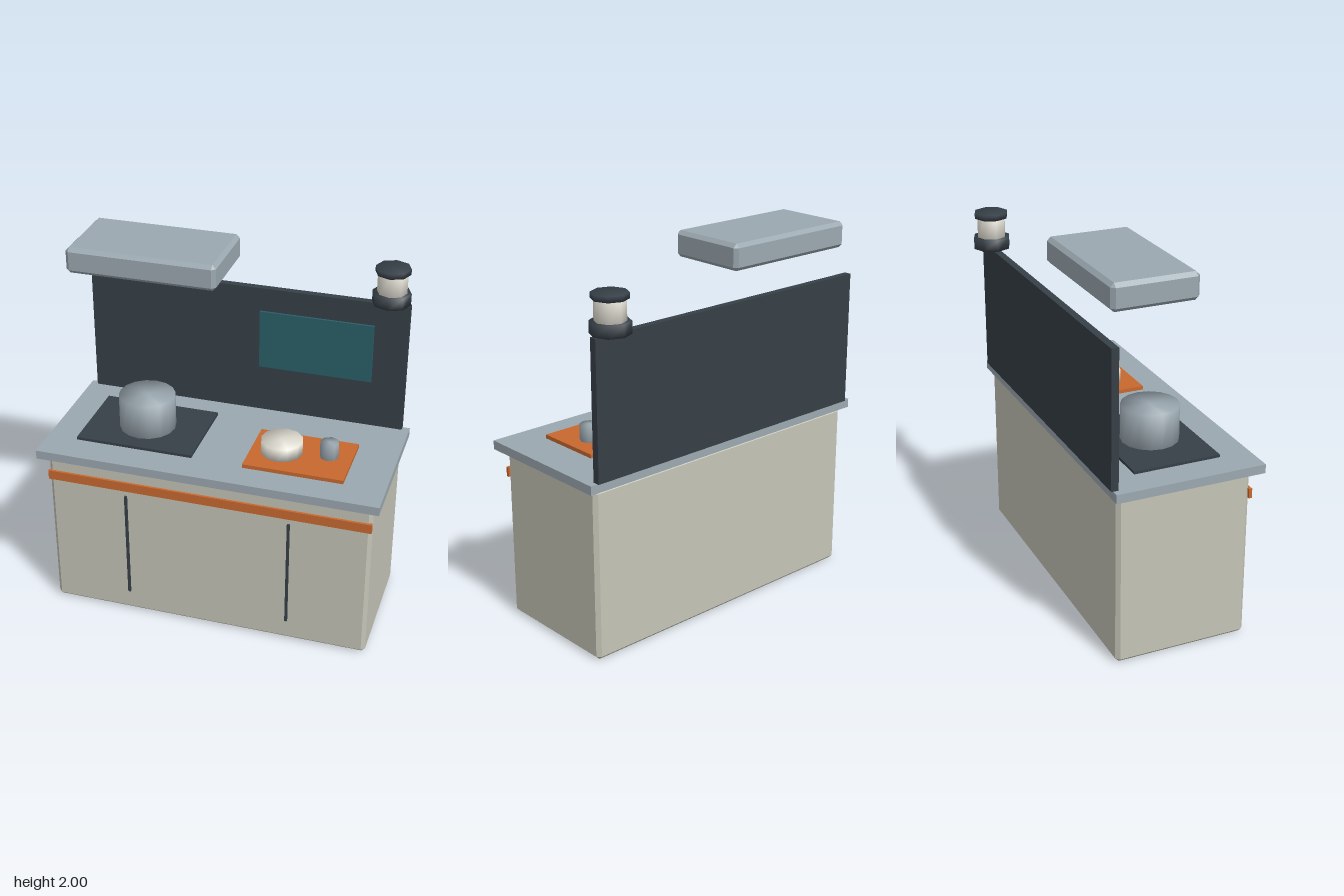
import * as THREE from 'three';
import { mergeVertices } from 'three/addons/utils/BufferGeometryUtils.js';
import { ConvexGeometry } from 'three/addons/geometries/ConvexGeometry.js';

const COLORS = {
  cream: 0xc4c4b7, steel: 0x9ba8b0, dark: 0x363f47,
  orange: 0xc8692f, teal: 0x2a5e68, white: 0xdedbd0,
};

export function createModel() {
  const kitchen = new THREE.Group();
  kitchen.name = 'kitchenUnit';

  function add(name, geometry, color, flatShading = false) {
    const material = new THREE.MeshStandardMaterial({ color: COLORS[color], flatShading });
    const mesh = new THREE.Mesh(geometry, material);
    mesh.name = name;
    kitchen.add(mesh);
    return mesh;
  }

  // Box given by its [min, max] range on each axis
  function box(name, color, x, y, z) {
    const g = new THREE.BoxGeometry(x[1] - x[0], y[1] - y[0], z[1] - z[0]);
    g.translate((x[0] + x[1]) / 2, (y[0] + y[1]) / 2, (z[0] + z[1]) / 2);
    return add(name, g, color);
  }

  // Box with every edge cut by a flat chamfer c
  function chamferBox(name, color, x, y, z, c) {
    const points = [];
    for (const i of [0, 1]) for (const j of [0, 1]) for (const k of [0, 1]) {
      const corner = [x[i], y[j], z[k]];
      const inward = [i ? -c : c, j ? -c : c, k ? -c : c];
      for (let axis = 0; axis < 3; axis++) {
        const p = corner.map((v, n) => (n === axis ? v : v + inward[n]));
        points.push(new THREE.Vector3(...p));
      }
    }
    return add(name, new ConvexGeometry(points), color, true);
  }

  // Upright cylinder with normals smoothed over the rim
  function drum(name, color, x, z, radius, y, sides) {
    let g = new THREE.CylinderGeometry(radius, radius, y[1] - y[0], sides);
    g.deleteAttribute('normal');
    g.deleteAttribute('uv');
    g = mergeVertices(g);
    g.computeVertexNormals();
    g.translate(x, (y[0] + y[1]) / 2, z);
    return add(name, g, color);
  }

  // Cabinet and worktop
  chamferBox('cabinet', 'cream', [-0.88, 0.88], [0, 0.935], [-0.335, 0.39], 0.02);
  box('worktop', 'steel', [-0.92, 0.92], [0.933, 0.981], [-0.357, 0.45]);
  box('frontRail', 'orange', [-0.88, 0.88], [0.785, 0.837], [0.385, 0.403]);
  for (const side of [-1, 1]) {
    const x = side * 0.446;
    box(side < 0 ? 'rightDoorGap' : 'leftDoorGap', 'dark', [x - 0.007, x + 0.007], [0.125, 0.75], [0.385, 0.402]);
  }

  // Back panel with screen
  box('backPanel', 'dark', [-0.88, 0.88], [0.981, 1.71], [-0.367, -0.328]);
  box('screen', 'teal', [0.08, 0.7], [1.25, 1.58], [-0.33, -0.315]);

  // Cooking side
  box('hob', 'dark', [-0.757, -0.115], [0.98, 0.996], [-0.19, 0.28]);
  drum('pot', 'steel', -0.437, 0.045, 0.152, [0.99, 1.187], 16);
  chamferBox('extractorHood', 'steel', [-0.84, -0.035], [1.86, 2], [-0.348, 0.105], 0.02);

  // Serving side
  box('cuttingBoard', 'orange', [0.165, 0.7], [0.98, 1.002], [-0.08, 0.292]);
  drum('bowl', 'white', 0.328, 0.107, 0.112, [1.0, 1.075], 12);
  drum('cup', 'steel', 0.577, 0.085, 0.05, [1.0, 1.09], 8);

  // Lantern on the panel corner
  drum('lanternBase', 'dark', 0.775, -0.35, 0.102, [1.712, 1.775], 8);
  drum('lanternGlass', 'white', 0.775, -0.35, 0.079, [1.77, 1.89], 8);
  drum('lanternCap', 'dark', 0.775, -0.35, 0.093, [1.882, 1.912], 8);

  return kitchen;
}
